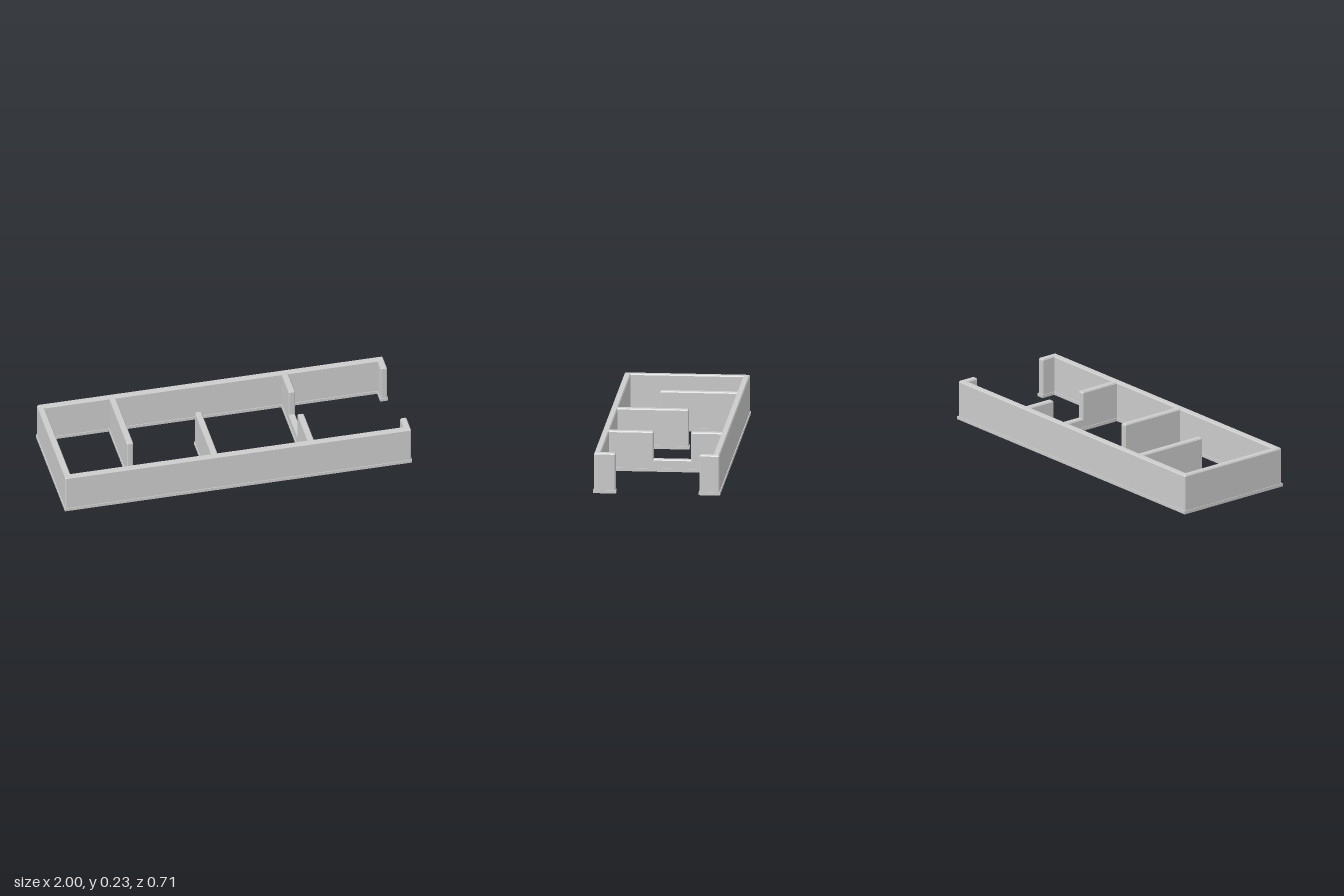
import * as THREE from 'three';

const SKIRT = 0.018, SHOULDER = 0.222, TOP = 0.229, BEVEL = 0.005, INSET = 0.004;

// Plan outline (x, -z), counter-clockwise, with the window gap cut through the cross wall
const plan = [
  [-1, -0.357], [1, -0.357], [1, -0.228], [0.955, -0.228], [0.955, -0.312], [0.448, -0.312],
  [0.448, -0.061], [0.403, -0.061],
  [0.403, -0.312], [-0.107, -0.312], [-0.107, 0.088], [-0.152, 0.088], [-0.152, -0.312],
  [-0.955, -0.312], [-0.955, 0.312], [-0.59, 0.312], [-0.59, -0.12], [-0.545, -0.12],
  [-0.545, 0.312], [0.403, 0.312],
  [0.403, 0.14], [0.448, 0.14],
  [0.448, 0.312], [0.955, 0.312], [0.955, 0.237], [1, 0.237], [1, 0.357], [-1, 0.357],
].map(([x, y]) => new THREE.Vector2(x, y));

const neighbours = (pts, i) => [pts[(i + pts.length - 1) % pts.length], pts[(i + 1) % pts.length]];

// Move every edge inward by d with mitred corners
function inset(pts, d) {
  const normal = (a, b) => new THREE.Vector2(a.y - b.y, b.x - a.x).normalize();
  return pts.map((p, i) => {
    const [prev, next] = neighbours(pts, i);
    const n1 = normal(prev, p), n2 = normal(p, next);
    const k = d / (1 + n1.dot(n2));
    return p.clone().addScaledVector(n1.add(n2), k);
  });
}

// Cut off the outward corners
function chamfer(pts, c) {
  return pts.flatMap((p, i) => {
    const [prev, next] = neighbours(pts, i);
    const a = p.clone().sub(prev).normalize(), b = next.clone().sub(p).normalize();
    if (a.cross(b) <= 0) return [p];
    return [p.clone().addScaledVector(a, -c), p.clone().addScaledVector(b, c)];
  });
}

// Flat-shaded sides through stacked rings, closed on top
function stack(rings) {
  const pos = [];
  const add = (p, h) => pos.push(p.x, h, -p.y);
  for (let r = 0; r < rings.length - 1; r++) {
    const { pts: lo, h: h0 } = rings[r], { pts: hi, h: h1 } = rings[r + 1];
    lo.forEach((p, i) => {
      const j = (i + 1) % lo.length;
      add(p, h0); add(lo[j], h0); add(hi[j], h1);
      add(p, h0); add(hi[j], h1); add(hi[i], h1);
    });
  }
  const { pts, h } = rings[rings.length - 1];
  for (const tri of THREE.ShapeUtils.triangulateShape(pts, [])) tri.forEach((i) => add(pts[i], h));
  const geo = new THREE.BufferGeometry();
  geo.setAttribute('position', new THREE.Float32BufferAttribute(pos, 3));
  geo.computeVertexNormals();
  return geo;
}

export function createModel() {
  const group = new THREE.Group();
  const material = new THREE.MeshStandardMaterial({ color: 0xcccccc, flatShading: true });
  const add = (name, geo) => {
    const mesh = new THREE.Mesh(geo, material);
    mesh.name = name;
    group.add(mesh);
  };

  // Base strip: slightly wider than the walls and unbroken below the window
  const base = new THREE.Shape([...plan.slice(0, 6), ...plan.slice(22)]);
  base.holes.push(new THREE.Path(plan.slice(8, 20)));
  add('baseStrip', new THREE.ExtrudeGeometry(base, { depth: SKIRT, bevelEnabled: false }).rotateX(-Math.PI / 2));

  // Walls with chamfered corners and a bevelled top
  const body = chamfer(inset(plan, INSET), BEVEL);
  add('walls', stack([
    { pts: body, h: SKIRT },
    { pts: body, h: SHOULDER },
    { pts: inset(body, BEVEL), h: TOP },
  ]));

  // Low wall under the window, with the same bevelled top
  const x0 = 0.403 + INSET, x1 = 0.448 - INSET, sillTop = 0.07;
  const sill = new THREE.Shape([
    [x0, SKIRT], [x1, SKIRT], [x1, sillTop - 0.007], [x1 - BEVEL, sillTop],
    [x0 + BEVEL, sillTop], [x0, sillTop - 0.007],
  ].map(([x, y]) => new THREE.Vector2(x, y)));
  add('windowSill', new THREE.ExtrudeGeometry(sill, { depth: 0.222, bevelEnabled: false }).translate(0, 0, -0.15));

  return group;
}
